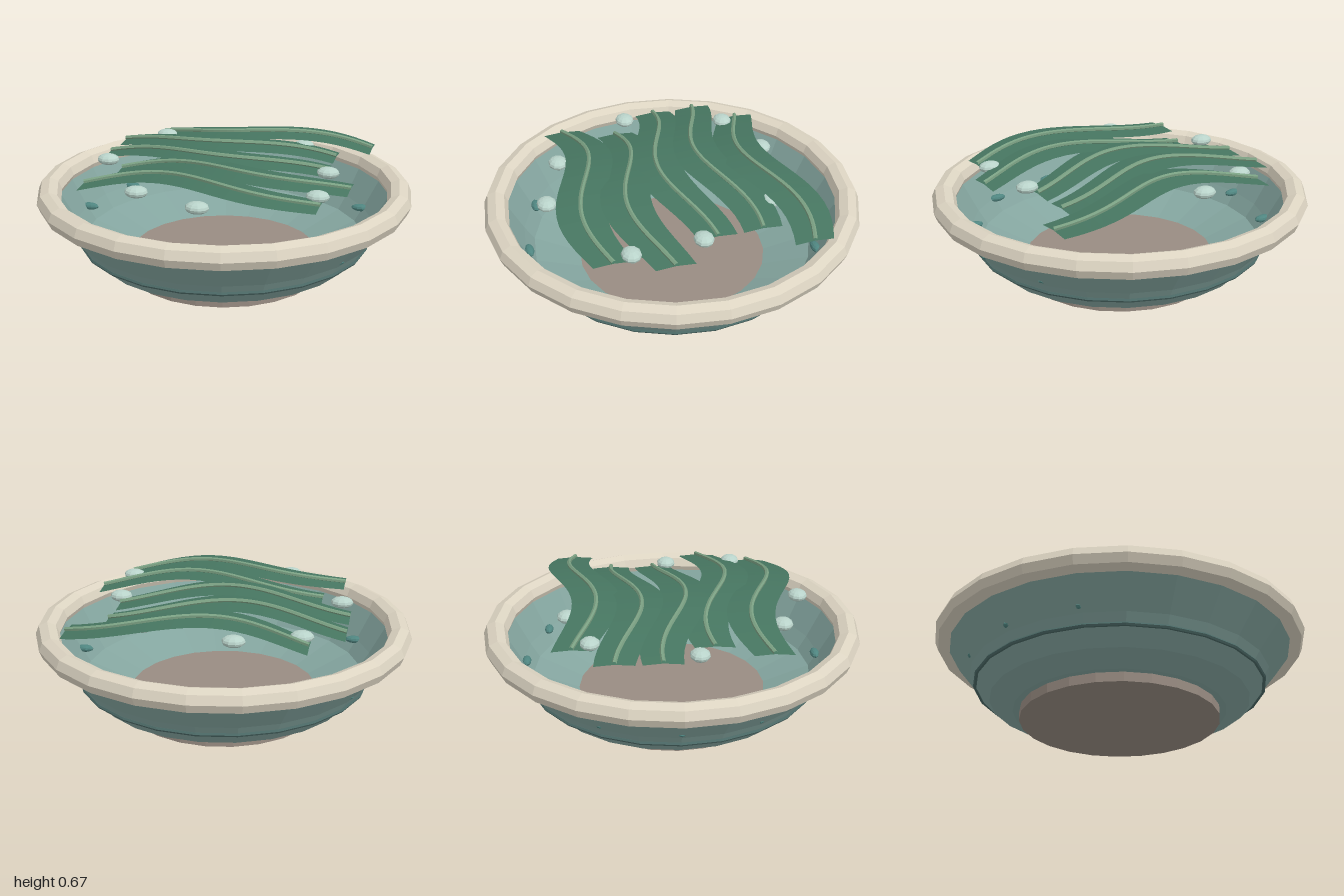
import * as THREE from 'three';

const SIDES = 24;

function mat(color, side = THREE.FrontSide) {
  return new THREE.MeshStandardMaterial({ color, side, flatShading: true });
}

function add(parent, name, geometry, material, x = 0, y = 0, z = 0) {
  const mesh = new THREE.Mesh(geometry, material);
  mesh.name = name;
  mesh.position.set(x, y, z);
  parent.add(mesh);
  return mesh;
}

// Horizontal ring around the y axis
function ring(radius, tube, tubeSides) {
  return new THREE.TorusGeometry(radius, tube, tubeSides, SIDES).rotateX(-Math.PI / 2);
}

// Wavy, arched centre line of a leaf; t runs from 0 to 1
function leafPoint(leaf, t) {
  return new THREE.Vector3(
    leaf.x + (t - 0.5) * 1.22,
    0.58 + 0.075 * Math.sin(Math.PI * t),
    leaf.z + 0.078 * Math.sin(2 * Math.PI * t + leaf.phase)
  );
}

// Thin leaf ribbon, three points across, with slightly drooping edges
function leafGeometry(leaf) {
  const steps = 20, positions = [], index = [];
  for (let i = 0; i <= steps; i++) {
    const t = i / steps, p = leafPoint(leaf, t);
    const half = 0.1 + 0.03 * Math.sin(Math.PI * t);
    for (const s of [-1, 0, 1]) positions.push(p.x, p.y - 0.008 * Math.abs(s), p.z + s * half);
    if (i === steps) continue;
    for (let j = 0; j < 2; j++) {
      const a = i * 3 + j;
      index.push(a, a + 1, a + 3, a + 1, a + 4, a + 3);
    }
  }
  const g = new THREE.BufferGeometry();
  g.setAttribute('position', new THREE.Float32BufferAttribute(positions, 3));
  g.setIndex(index);
  g.computeVertexNormals();
  return g;
}

export function createModel() {
  const model = new THREE.Group();
  model.name = 'bowlWithLeaves';

  // Bowl: outside profile upwards, then inside profile down to the floor
  const profile = [
    [0.53, 0.05], [0.565, 0.05], [0.69, 0.105], [0.765, 0.185], [0.8, 0.24], [0.925, 0.4],
    [0.92, 0.44], [0.89, 0.43], [0.8, 0.27], [0.75, 0.195], [0.5, 0.1]
  ].map(([r, y]) => new THREE.Vector2(r, y));
  add(model, 'bowl', new THREE.LatheGeometry(profile, SIDES), mat(0x84a59f));

  // Foot, whose top shows as the floor of the bowl
  add(model, 'foot', new THREE.CylinderGeometry(0.53, 0.53, 0.102, SIDES), mat(0x988c82), 0, 0.051);

  // Rim and the thin band around the outside
  add(model, 'rim', ring(0.935, 0.063, 8), mat(0xdcd4c2), 0, 0.445);
  add(model, 'band', ring(0.77, 0.011, 6), mat(0x4c6a67), 0, 0.188);

  // Studs set through the wall
  const studs = new THREE.Group();
  studs.name = 'studs';
  model.add(studs);
  const studGeometry = new THREE.SphereGeometry(0.05, 10, 6).scale(1, 0.4, 0.5);
  const studMaterial = mat(0x4f8580);
  for (let i = 0; i < 12; i++) {
    const a = (i / 12) * Math.PI * 2;
    add(studs, 'stud', studGeometry, studMaterial, 0.782 * Math.cos(a), 0.27, 0.782 * Math.sin(a));
  }

  // Leaves with a raised vein, each wave shifted along from the last
  const leafMaterial = mat(0x467560, THREE.DoubleSide);
  const veinMaterial = mat(0x7a9f82);
  [0.1, -0.065, -0.065, 0.1, 0].forEach((x, i) => {
    const leaf = { x, z: -0.475 + 0.235 * i, phase: -0.2 * Math.PI * (i + 1) };
    const group = new THREE.Group();
    group.name = 'leaf';
    model.add(group);
    add(group, 'leafBlade', leafGeometry(leaf), leafMaterial);
    const line = [];
    for (let k = 0; k <= 20; k++) line.push(leafPoint(leaf, k / 20));
    const curve = new THREE.CatmullRomCurve3(line);
    add(group, 'leafVein', new THREE.TubeGeometry(curve, 32, 0.012, 6), veinMaterial, 0, 0.007);
  });

  // Flattened pearls around the leaves
  const pearls = new THREE.Group();
  pearls.name = 'pearls';
  model.add(pearls);
  const pearlGeometry = new THREE.SphereGeometry(0.06, 10, 8).scale(1, 0.5, 0.85);
  const pearlMaterial = mat(0xb9d3ca);
  for (const [x, z] of [
    [0.58, 0.37], [0.06, 0.68], [-0.295, 0.55], [-0.62, 0.1],
    [-0.465, -0.43], [-0.145, -0.55], [0.34, -0.43], [0.56, 0]
  ]) add(pearls, 'pearl', pearlGeometry, pearlMaterial, x, 0.592, z);

  return model;
}
